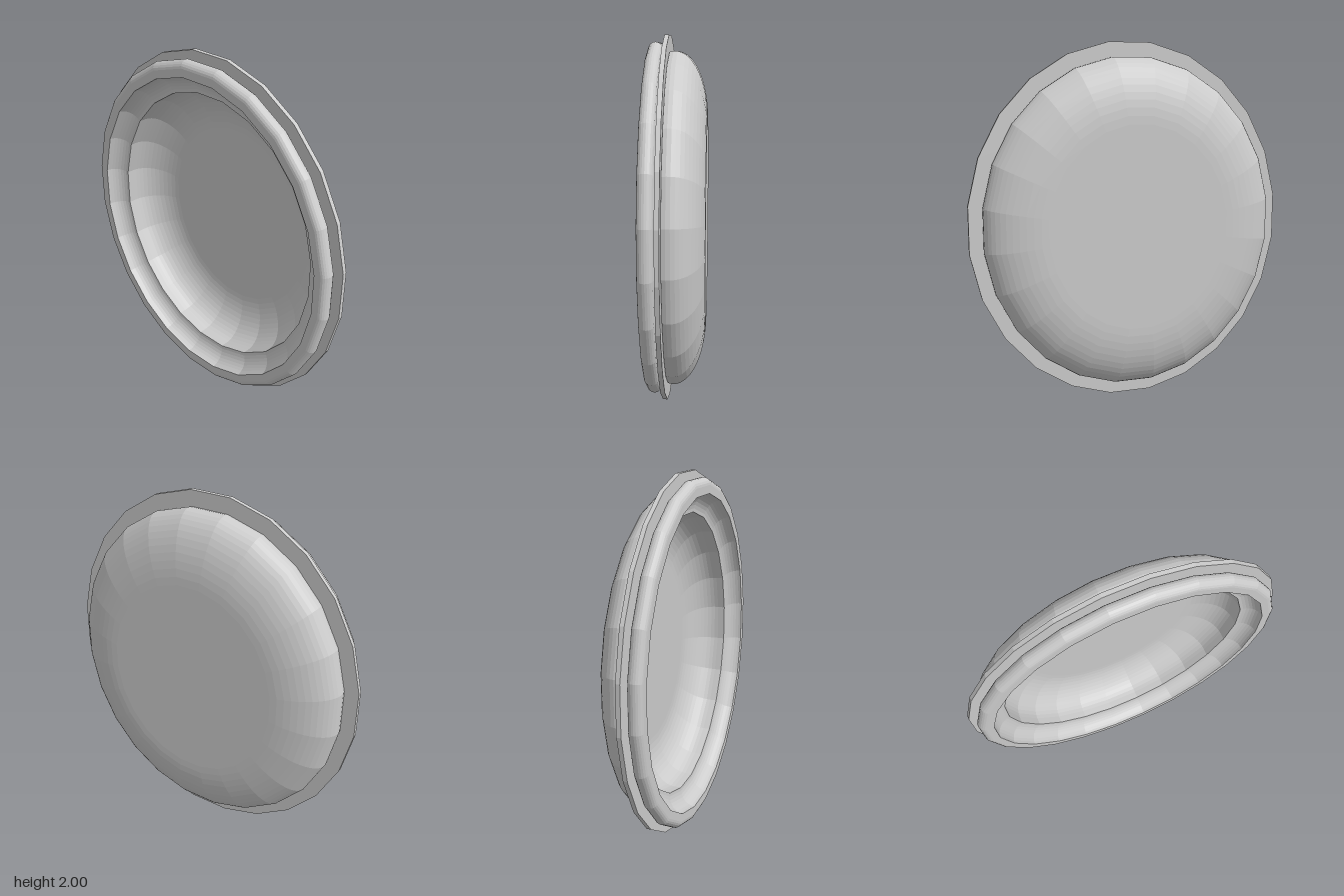
import * as THREE from 'three';

const SIDES = 24;
const FIT = 1 / Math.cos(Math.PI / SIDES); // flats, not corners, touch top and bottom

// Points of an elliptical arc in (radius, depth), angles in degrees
function arc(r, z, rr, rz, from, to, steps) {
  const pts = [];
  for (let i = 0; i <= steps; i++) {
    const a = THREE.MathUtils.degToRad(from + ((to - from) * i) / steps);
    pts.push([r + rr * Math.cos(a), z + rz * Math.sin(a)]);
  }
  return pts;
}

export function createModel() {
  const group = new THREE.Group();
  group.name = 'ovalDish';
  const material = new THREE.MeshStandardMaterial({
    color: 0xcccccc, flatShading: true, side: THREE.DoubleSide,
  });

  // Turn a profile about the z axis, then squeeze it to an oval
  function addRing(name, profile) {
    const pts = profile.map(([r, z]) => new THREE.Vector2(Math.max(r, 0) * FIT, z));
    const geo = new THREE.LatheGeometry(pts, SIDES, Math.PI / SIDES);
    geo.rotateX(Math.PI / 2);
    geo.scale(0.9, 1, 1);
    geo.translate(0, 1, 0);
    const mesh = new THREE.Mesh(geo, material);
    mesh.name = name;
    group.add(mesh);
  }

  // Bowl: rounded outer shell, then the hollow inside
  addRing('bowl', [
    [0, -0.157],
    ...arc(0.56, 0.015, 0.358, 0.172, -90, 10, 14),
    [0.9, 0.046],
    [0.78, 0.046],
    ...arc(0.53, 0.03, 0.25, 0.165, 0, -90, 12),
    [0, -0.135],
  ]);

  // Thin flat flange
  addRing('flange', [
    [0.78, 0.046], [1, 0.046], [1, 0.07], [0.78, 0.07], [0.78, 0.046],
  ]);

  // Front bead: rounded outside, flat face, hollowed slope inside
  addRing('frontBead', [
    [0.9, 0.07],
    ...arc(0.925, 0.118, 0.04, 0.039, -90, 90, 10),
    [0.88, 0.157],
    ...arc(0.78, 0.157, 0.1, 0.087, 0, -90, 8),
  ]);

  return group;
}
